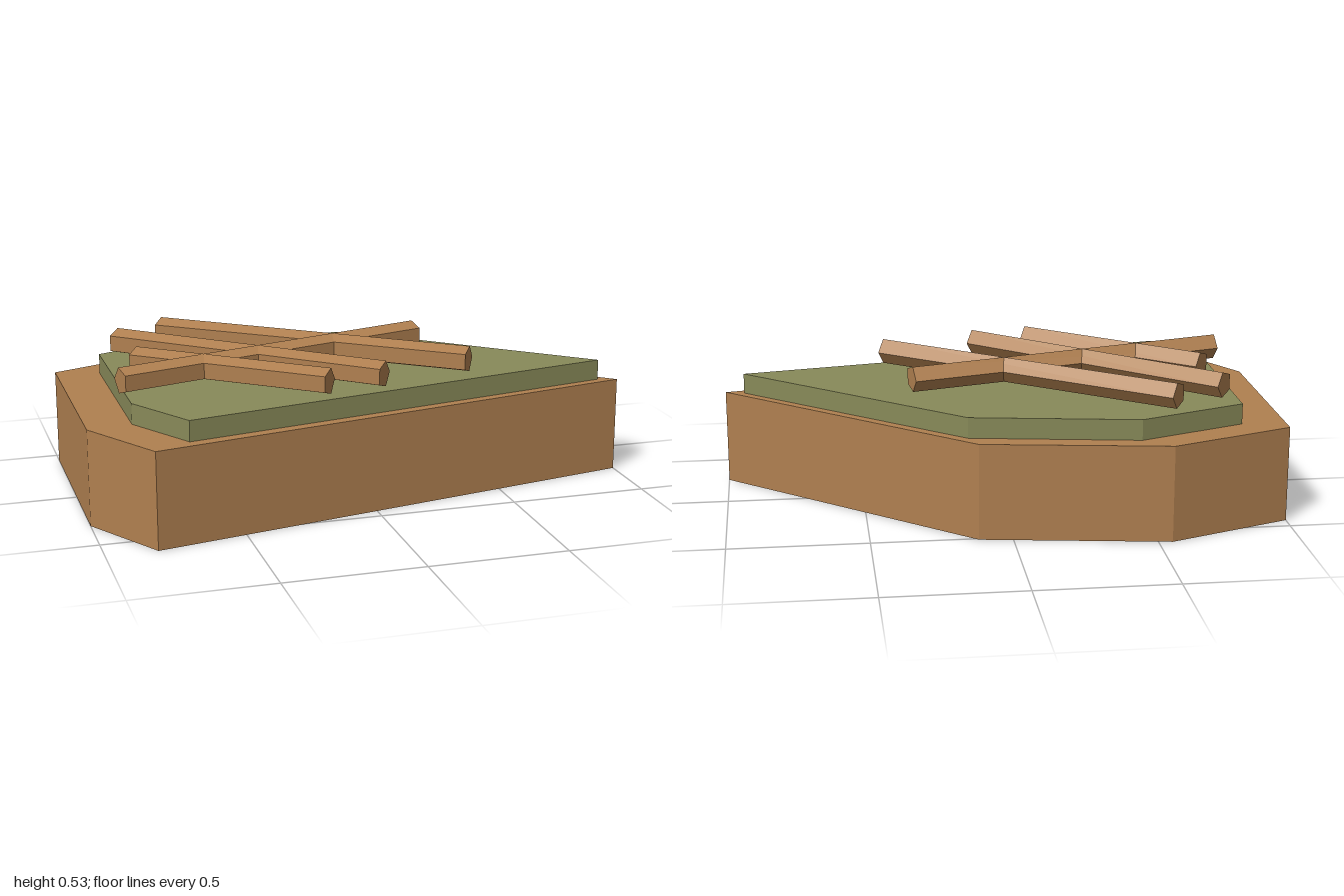
import * as THREE from 'three';

const wood = new THREE.MeshStandardMaterial({ color: 0xb08050 });
wood.name = 'wood';
const moss = new THREE.MeshStandardMaterial({ color: 0x888a59 });
moss.name = 'mossGreen';

// Flat slab from an outline of [x, z] points
function slab(name, outline, bottom, height, material) {
  const shape = new THREE.Shape(outline.map(([x, z]) => new THREE.Vector2(x, -z)));
  const geometry = new THREE.ExtrudeGeometry(shape, { depth: height, bevelEnabled: false });
  geometry.rotateX(-Math.PI / 2);
  const mesh = new THREE.Mesh(geometry, material);
  mesh.name = name;
  mesh.position.y = bottom;
  return mesh;
}

// Five-sided log lying level between two [x, z] points, one edge towards the back
function log(name, [x1, z1], [x2, z2]) {
  const length = Math.hypot(x2 - x1, z2 - z1);
  const geometry = new THREE.CylinderGeometry(0.049, 0.049, length, 5, 1, false, Math.PI).toNonIndexed();
  geometry.computeVertexNormals();
  geometry.rotateZ(Math.PI / 2);
  const mesh = new THREE.Mesh(geometry, wood);
  mesh.name = name;
  mesh.rotation.y = Math.atan2(z1 - z2, x2 - x1);
  mesh.position.set((x1 + x2) / 2, 0.485, (z1 + z2) / 2);
  return mesh;
}

export function createModel() {
  const model = new THREE.Group();
  model.name = 'slabWithLogs';

  // Earth base and grassy top
  model.add(slab('base',
    [[-1, -0.44], [-0.55, -0.61], [0.12, -0.51], [1, 0.25], [-0.82, 0.61], [-1, 0.31]],
    0, 0.35, wood));
  model.add(slab('grassTop',
    [[-0.84, -0.38], [-0.45, -0.53], [0.15, -0.435], [0.93, 0.23], [-0.69, 0.54], [-0.84, 0.29]],
    0.35, 0.075, moss));

  // One long log crossing three parallel ones
  model.add(log('crossLog', [-0.862, 0.217], [0.322, -0.122]));
  const parallel = [
    [[-0.593, -0.446], [0.391, 0.292]],
    [[-0.783, -0.329], [0.04, 0.393]],
    [[-0.764, -0.047], [-0.17, 0.428]],
  ];
  parallel.forEach(([a, b], i) => model.add(log(`log${i + 1}`, a, b)));

  return model;
}
